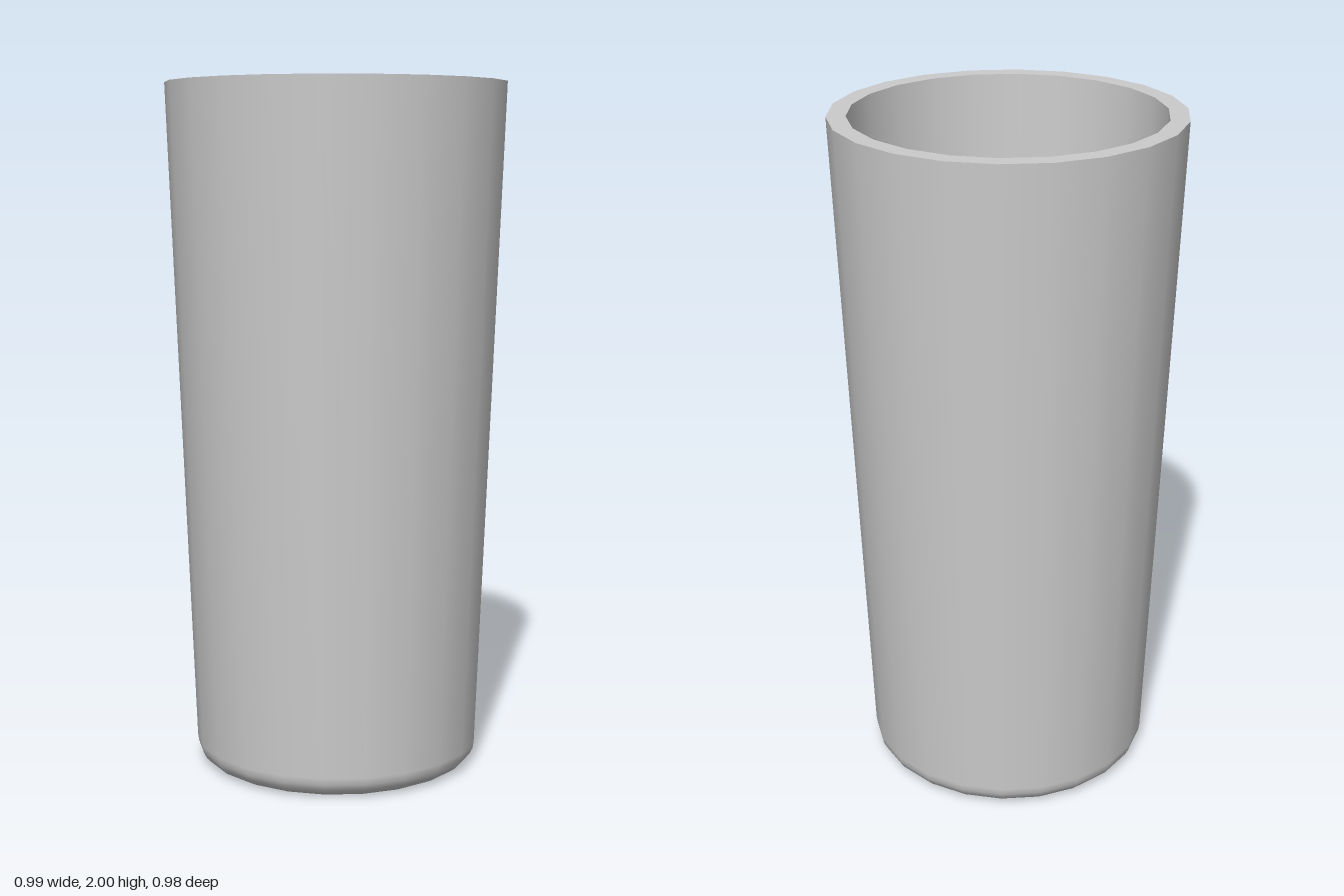
import * as THREE from 'three';

const SIDES = 22;
const RIM_R = 0.494, INNER_R = 0.44, FLOOR_R = 0.374, FLOOR_Y = 0.07;
const FOOT_R = 0.42, BEVEL = 0.065;

// Revolve a profile of [radius, height] pairs; a corner lies on the x axis
function revolve(name, profile, material) {
  const points = profile.map(([r, y]) => new THREE.Vector2(r, y));
  const mesh = new THREE.Mesh(new THREE.LatheGeometry(points, SIDES, Math.PI / 2), material);
  mesh.name = name;
  return mesh;
}

export function createModel() {
  const group = new THREE.Group();
  group.name = 'tumbler';
  const material = new THREE.MeshStandardMaterial({ color: 0xcccccc });

  // Outer wall with a rounded lower edge
  const outer = [];
  const steps = 5;
  for (let i = 0; i <= steps; i++) {
    const a = (i / steps) * Math.PI / 2;
    outer.push([FOOT_R - BEVEL + BEVEL * Math.sin(a), BEVEL * (1 - Math.cos(a))]);
  }
  outer.push([RIM_R, 2]);
  group.add(revolve('outerWall', outer, material));

  // Flat underside, rim, inner wall and inner floor keep sharp edges
  group.add(revolve('base', [[0, 0], [FOOT_R - BEVEL, 0]], material));
  group.add(revolve('rim', [[RIM_R, 2], [INNER_R, 2]], material));
  group.add(revolve('innerWall', [[INNER_R, 2], [FLOOR_R, FLOOR_Y]], material));
  group.add(revolve('innerFloor', [[FLOOR_R, FLOOR_Y], [0, FLOOR_Y]], material));

  return group;
}
